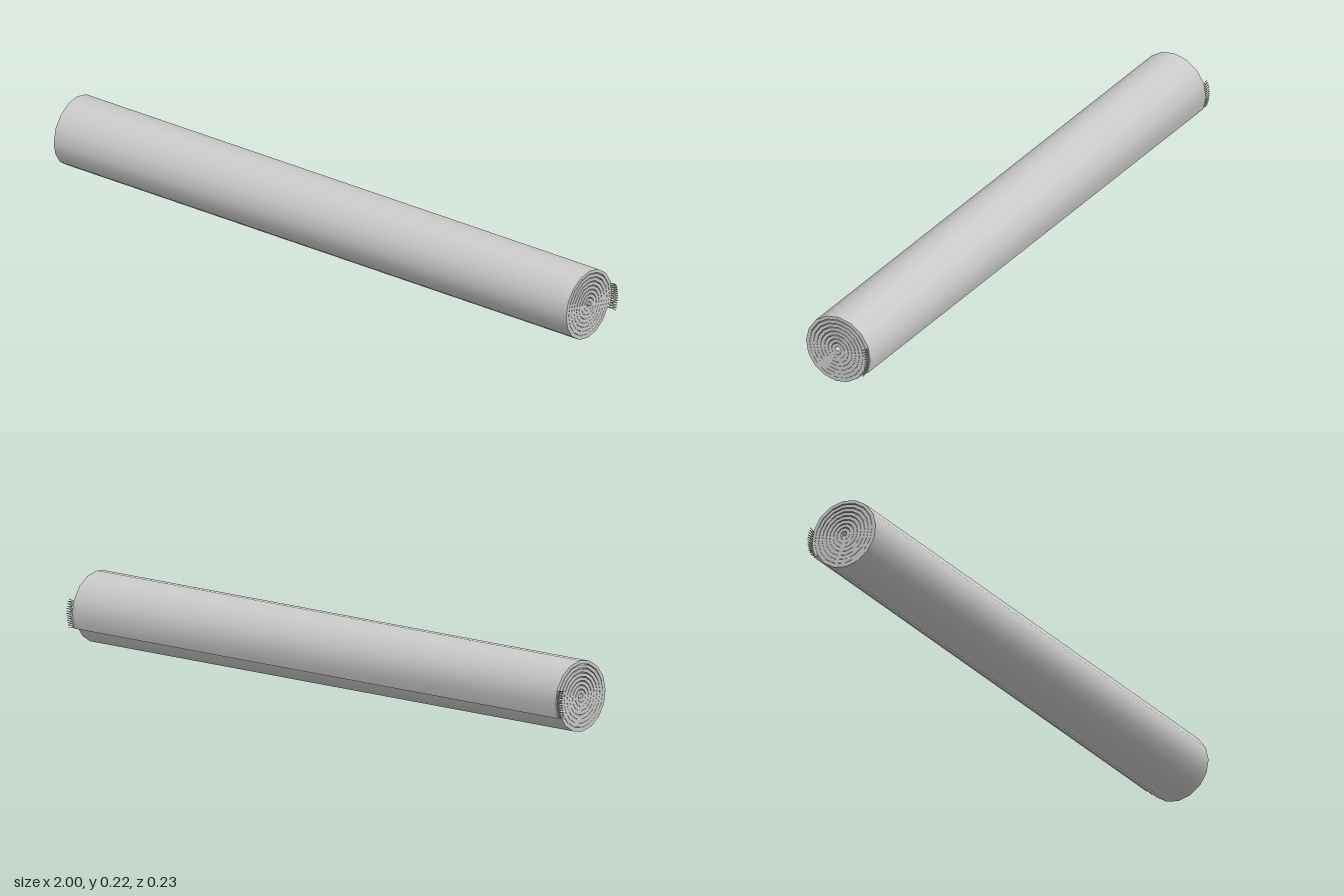
import * as THREE from 'three';
import { toCreasedNormals } from 'three/addons/utils/BufferGeometryUtils.js';

const TURNS = 8, STEPS = 16, PITCH = 0.013, OUTER = 0.1175;
const HALF = 0.975, END_ANGLE = -25 * Math.PI / 180;
const CENTRE_X = -0.003, CENTRE_Y = 0.111;

// Point on the roll, given turns back from the loose edge and depth below its surface
function spiralPoint(back, depth) {
  const a = END_ANGLE + back * Math.PI * 2;
  const r = OUTER - PITCH * back - depth;
  return new THREE.Vector2(CENTRE_X + r * Math.cos(a), CENTRE_Y + r * Math.sin(a));
}

export function createModel() {
  const group = new THREE.Group();
  const material = new THREE.MeshStandardMaterial({ color: 0xcccccc, side: THREE.DoubleSide });

  // Rolled carpet: a spiral cross-section whose layers sit looser along the top
  const outside = [], inside = [];
  for (let i = 0; i <= TURNS * STEPS; i++) {
    const back = i / STEPS;
    const loose = Math.max(0, Math.sin(END_ANGLE + back * Math.PI * 2));
    outside.push(spiralPoint(back, 0));
    inside.push(spiralPoint(back, 0.0123 - 0.0025 * loose));
  }
  const section = new THREE.Shape([...outside, ...inside.reverse()]);
  const carpetGeometry = new THREE.ExtrudeGeometry(section, { depth: HALF * 2, bevelEnabled: false });
  carpetGeometry.translate(0, 0, -HALF).rotateY(Math.PI / 2);
  const carpet = new THREE.Mesh(toCreasedNormals(carpetGeometry, 0.7), material);
  carpet.name = 'rolledCarpet';
  group.add(carpet);

  // Fringe: slanted, crossing threads at both ends of the loose edge
  const strand = new THREE.CylinderGeometry(0.0012, 0.0012, 1, 5);
  const up = new THREE.Vector3(0, 1, 0);
  const COUNT = 12, SPAN = 0.125;
  for (const side of [-1, 1]) {
    const fringe = new THREE.Group();
    fringe.name = side > 0 ? 'leftFringe' : 'rightFringe';
    for (let i = 0; i < COUNT; i++) {
      for (const slant of [0, 1]) {
        const root = spiralPoint((i + 0.2) / COUNT * SPAN, 0.004);
        const tip = spiralPoint((i + slant) / COUNT * SPAN, 0.002 + 0.003 * slant);
        const from = new THREE.Vector3(side * (HALF - 0.005), root.y, -root.x);
        const to = new THREE.Vector3(side * 0.9995, tip.y, -tip.x);
        const thread = new THREE.Mesh(strand, material);
        thread.name = 'fringeThread';
        thread.position.copy(from).lerp(to, 0.5);
        thread.scale.y = from.distanceTo(to);
        thread.quaternion.setFromUnitVectors(up, to.sub(from).normalize());
        fringe.add(thread);
      }
    }
    group.add(fringe);
  }
  return group;
}
